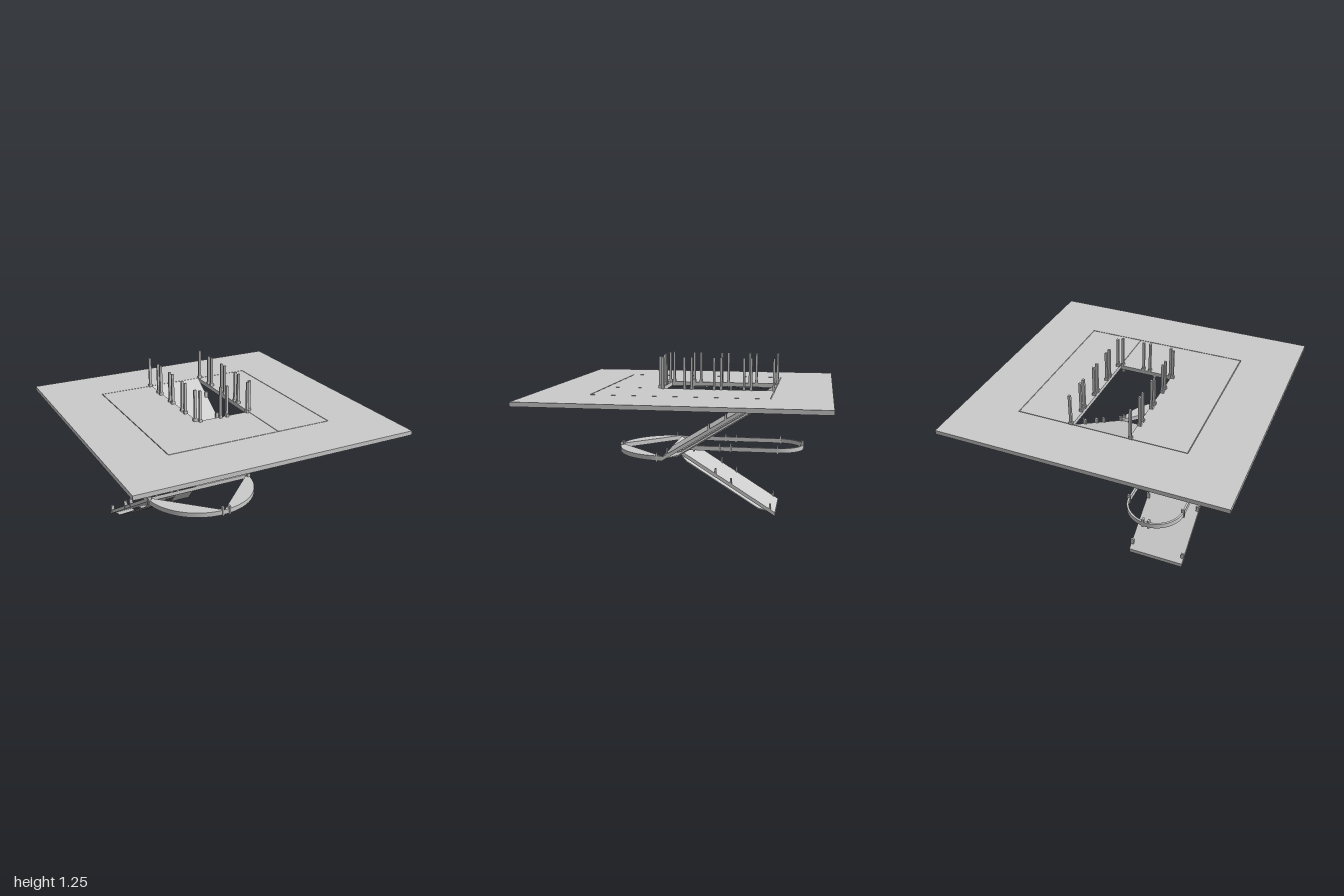
import * as THREE from 'three';

const material = new THREE.MeshStandardMaterial({ color: 0xcccccc, side: THREE.DoubleSide });

const shapeOf = (points) => new THREE.Shape(points.map(([a, b]) => new THREE.Vector2(a, b)));

function add(parent, name, geometry) {
  const mesh = new THREE.Mesh(geometry, material);
  mesh.name = name;
  parent.add(mesh);
  return mesh;
}

function box(parent, name, w, h, d, x, y, z) {
  const mesh = add(parent, name, new THREE.BoxGeometry(w, h, d));
  mesh.position.set(x, y, z);
  return mesh;
}

// Horizontal plate: outline drawn in (x, -z), raised from y
function plate(parent, name, shape, y, height) {
  const geometry = new THREE.ExtrudeGeometry(shape, { depth: height, bevelEnabled: false, curveSegments: 32 });
  geometry.rotateX(-Math.PI / 2).translate(0, y, 0);
  return add(parent, name, geometry);
}

// Side profile drawn in (z, y), running from x0 to x1
function sideProfile(parent, name, points, x0, x1) {
  const geometry = new THREE.ExtrudeGeometry(shapeOf(points), { depth: x1 - x0, bevelEnabled: false });
  geometry.rotateY(-Math.PI / 2).translate(x1, 0, 0);
  return add(parent, name, geometry);
}

const T = 0.03; // slab thickness

// Ramp with two bent panels hung below it; height(z) is its top surface
function ramp(name, x0, height) {
  const group = new THREE.Group();
  group.name = name;
  const at = (z, drop) => [z, height(z) - drop];
  sideProfile(group, 'rampPlate', [at(0.2, 0), at(-0.6, 0), at(-0.6, T), at(0.2, T)], x0, x0 + 0.4);
  const rising = height(-0.6) > height(0.2);
  // the panel ends fold back up to the plate
  const ends = rising ? [0.19, 0.09, -0.5, -0.57] : [0.17, 0.1, -0.47, -0.56];
  for (const px of [x0 + 0.03, x0 + 0.23]) {
    sideProfile(group, 'soffitPanel', [
      at(ends[0], T), at(ends[1], 0.07), at(ends[2], 0.07), at(ends[3], T),
      at(ends[3] + 0.012, T), at(ends[2] + 0.003, 0.061), at(ends[1] - 0.003, 0.061), at(ends[0] - 0.012, T),
    ], px, px + 0.14);
  }
  return group;
}

export function createModel() {
  const model = new THREE.Group();
  const upper = (z) => 0.53 + (0.2 - z) * 0.625;
  const lower = (z) => 0.53 - (0.2 - z) * 0.625;

  // Upper floor: outer frame and two inner pieces with narrow joints
  const frame = shapeOf([[-1, -1], [1, -1], [1, 1], [-1, 1]]);
  frame.holes.push(new THREE.Path([[-0.604, -0.604], [-0.604, 0.604], [0.604, 0.604], [0.604, -0.604]]
    .map(([a, b]) => new THREE.Vector2(a, b))));
  plate(model, 'outerFloor', frame, 1, T);
  plate(model, 'innerFloorRight', shapeOf([[0.202, -0.599], [0.599, -0.599], [0.599, 0.599], [0.202, 0.599]]), 1, T);
  plate(model, 'innerFloorLeft', shapeOf([
    [-0.599, -0.599], [0.198, -0.599], [0.198, -0.2], [-0.2, -0.2], [-0.2, 0.599], [-0.599, 0.599],
  ]), 1, T);

  // Half-round landing, in two quarters
  for (const [from, to] of [[Math.PI, 1.5 * Math.PI], [1.5 * Math.PI, 2 * Math.PI]]) {
    const quarter = new THREE.Shape();
    quarter.moveTo(-0.2, -0.2);
    quarter.absarc(-0.2, -0.2, 0.4, from, to, false);
    quarter.closePath();
    plate(model, 'landing', quarter, 0.5, 0.035);
  }

  // Rail loop behind the landing
  const loop = new THREE.Shape();
  loop.moveTo(-0.6, -0.2);
  loop.lineTo(-0.6, 0.6);
  loop.absarc(-0.4, 0.6, 0.2, Math.PI, 0, true);
  loop.lineTo(-0.2, -0.2);
  loop.lineTo(-0.214, -0.2);
  loop.lineTo(-0.214, 0.6);
  loop.absarc(-0.4, 0.6, 0.186, 0, Math.PI, false);
  loop.lineTo(-0.586, -0.2);
  loop.closePath();
  plate(model, 'railLoop', loop, 0.5, 0.035);

  // Two flights
  model.add(ramp('upperRamp', -0.2, upper));
  model.add(ramp('lowerRamp', -0.6, lower));

  // Curved ceiling panels above the lower flight
  for (let i = 0; i < 5; i++) {
    const under = [], over = [];
    for (let k = 0; k <= 16; k++) {
      const t = k / 8 - 1;
      const x = -0.4 + 0.165 * t;
      under.push([x, 0.969 + 0.031 * t * t]);
      over.unshift([x * 0.98 - 0.008, 0.975 + 0.025 * t * t]);
    }
    const geometry = new THREE.ExtrudeGeometry(shapeOf([...under, ...over]), { depth: 0.095, bevelEnabled: false });
    geometry.translate(0, 0, 0.125 - 0.17 * i);
    add(model, 'ceilingPanel', geometry);
  }

  // Balustrade posts round the opening; along is the direction of the edge
  const post = (x, z, alongX) => {
    const size = (a, b) => (alongX ? [a, b] : [b, a]);
    const [w, d] = size(0.016, 0.018);
    const [bw, bd] = size(0.02, 0.028);
    box(model, 'post', w, 0.22, d, x, 1.145, z);
    box(model, 'postFoot', bw, 0.02, bd, x, 1.04, z);
  };
  for (const side of [-1, 1]) {
    for (const z of [0.185, 0.03, -0.02, -0.18, -0.23, -0.39, -0.44, -0.597]) post(side * 0.212, z, false);
  }
  for (const x of [-0.187, -0.03, 0.02, 0.183]) post(x, 0.21, true);

  // Clips in facing pairs, on the lower rail and under the floor
  const clips = [[-0.39, -0.6, 0]]; clips.length = 0;
  for (const z of [0.035, -0.165, -0.25, -0.61]) clips.push([-0.594, z, 0], [-0.206, z, 0]);
  clips.push([-0.594, 0.24, 0], [0.192, 0.24, 0]);
  clips.push([-0.42, -0.79, 1], [-0.38, -0.79, 1], [-0.21, 0.594, 1], [-0.16, 0.592, 1]);
  for (const [x, z, alongX] of clips) {
    const [w, d] = alongX ? [0.013, 0.024] : [0.024, 0.013];
    box(model, 'railClip', w, 0.065, d, x, 0.525, z);
    box(model, 'ceilingClip', w, 0.045, d, x, 0.978, z);
  }

  // Clips along the flights
  for (const z of [0.165, -0.14, -0.26, -0.44]) {
    box(model, 'upperRampClip', 0.024, 0.06, 0.013, 0.19, upper(z) + 0.01, z);
  }
  for (const z of [-0.135, -0.255, -0.56]) {
    for (const x of [-0.592, -0.208]) box(model, 'lowerRampClip', 0.024, 0.06, 0.013, x, lower(z) + 0.01, z);
  }
  return model;
}
